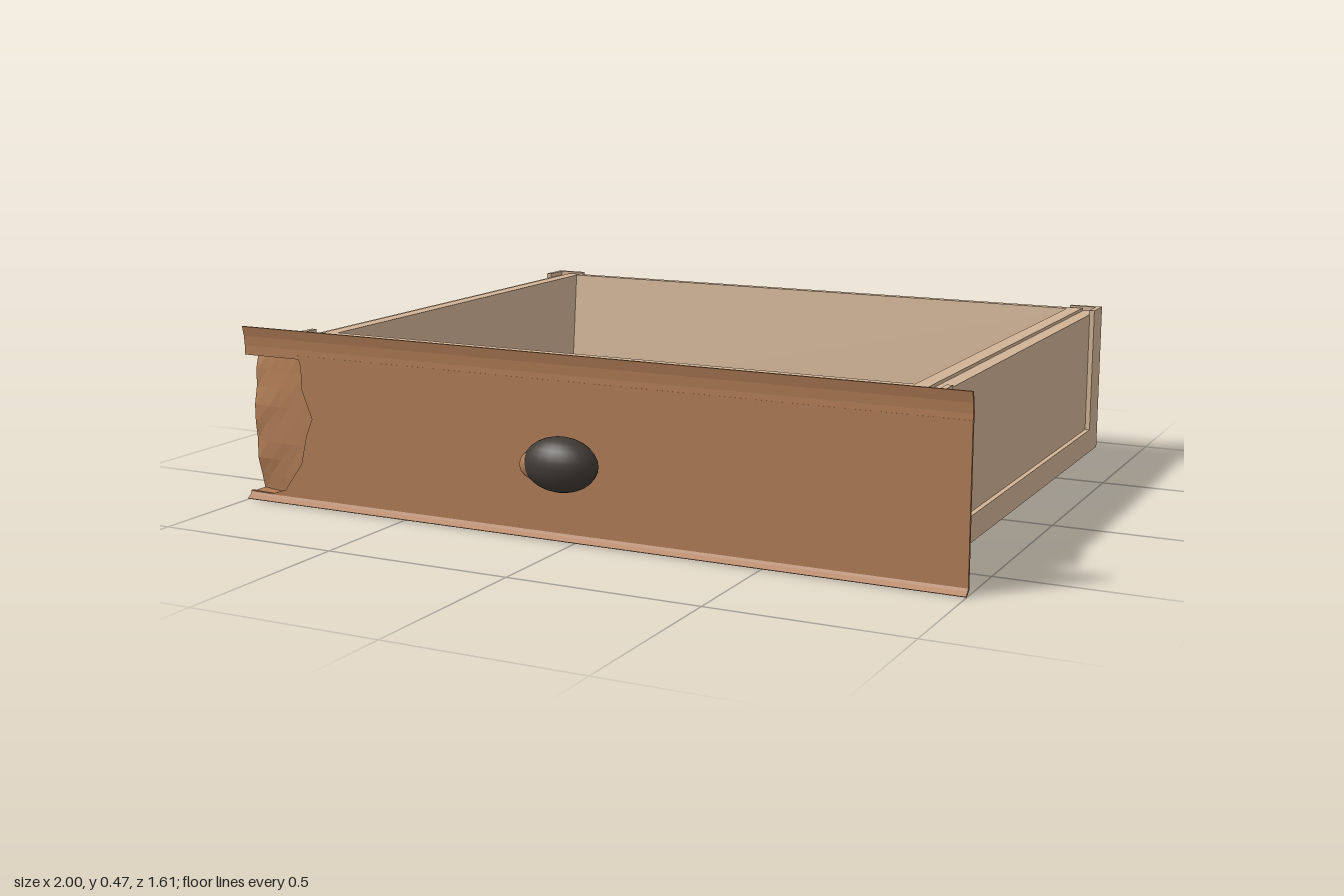
import * as THREE from 'three';

export function createModel() {
  const root = new THREE.Group();
  const mat = (name, color) => {
    const m = new THREE.MeshStandardMaterial({ color, side: THREE.DoubleSide });
    m.name = name;
    return m;
  };
  const tan = mat('pale wood', 0xd1b396);
  const brown = mat('brown wood', 0xaf7c55);
  const dark = mat('dark knob', 0x3f3a34);

  const add = (name, geo, material) => {
    const m = new THREE.Mesh(geo, material);
    m.name = name;
    root.add(m);
    return m;
  };
  const box = (name, x0, x1, y0, y1, z0, z1) => add(name,
    new THREE.BoxGeometry(x1 - x0, y1 - y0, z1 - z0)
      .translate((x0 + x1) / 2, (y0 + y1) / 2, (z0 + z1) / 2), tan);
  const shapeOf = pts => new THREE.Shape(pts.map(p => new THREE.Vector2(p[0], p[1])));
  const extrude = (shape, depth) =>
    new THREE.ExtrudeGeometry(shape, { depth, bevelEnabled: false });
  // [z, y] profile swept along x
  const alongX = (pts, x0, x1) =>
    extrude(shapeOf(pts), x1 - x0).rotateY(-Math.PI / 2).translate(x1, 0, 0);
  // [x, z] outline raised along y
  const upright = (pts, y0, y1, hole) => {
    const flip = list => list.map(([x, z]) => [x, -z]);
    const s = shapeOf(flip(pts));
    if (hole) s.holes.push(shapeOf(flip(hole)));
    return extrude(s, y1 - y0).rotateX(-Math.PI / 2).translate(0, y0, 0);
  };
  const rect = (x, z0, z1) => [[-x, z0], [x, z0], [x, z1], [-x, z1]];

  // Tray: bottom frame and floor
  add('bottomFrame', upright(rect(0.9, -0.805, 0.6), 0.03, 0.097, rect(0.812, -0.721, 0.508)), tan);
  box('floor', -0.82, 0.82, 0.036, 0.067, -0.73, 0.53);

  // Side walls with a stepped rim, and thin corner posts wrapped around them
  for (const s of [-1, 1]) {
    const side = s < 0 ? 'right' : 'left';
    const xs = (a, b) => (s < 0 ? [-b, -a] : [a, b]);
    box(side + 'Wall', ...xs(0.81, 0.85), 0.06, 0.439, -0.78, 0.55);
    box(side + 'OuterWall', ...xs(0.85, 0.887), 0.06, 0.431, -0.792, 0.587);
    add(side + 'FrontPost', upright([[0.9, 0.6], [0.9, 0.515], [0.885, 0.515],
      [0.885, 0.585], [0.81, 0.585], [0.81, 0.6]].map(([x, z]) => [s * x, z]), 0.09, 0.443), tan);
    add(side + 'BackPost', upright([[0.9, -0.805], [0.9, -0.72], [0.885, -0.72],
      [0.885, -0.79], [0.81, -0.79], [0.81, -0.805]].map(([x, z]) => [s * x, z]), 0.09, 0.443), tan);
  }

  // Front and back walls lean inwards towards the floor
  add('backWall', alongX([[-0.792, 0.06], [-0.715, 0.06], [-0.755, 0.439],
    [-0.78, 0.439], [-0.78, 0.431], [-0.792, 0.431]], -0.85, 0.85), tan);
  add('frontWall', alongX([[0.587, 0.06], [0.485, 0.06], [0.52, 0.439],
    [0.55, 0.439], [0.55, 0.431], [0.587, 0.431]], -0.85, 0.85), tan);

  // Front panel with a ragged break at its right end
  add('frontPanel', extrude(shapeOf([[1, 0.012], [1, 0.4], [-0.83, 0.4], [-0.82, 0.37],
    [-0.82, 0.31], [-0.8, 0.26], [-0.79, 0.235], [-0.81, 0.19], [-0.82, 0.15],
    [-0.83, 0.11], [-0.86, 0.07], [-0.885, 0.035], [-0.93, 0.02], [-1, 0.022], [-1, 0.012]]),
  0.008).translate(0, 0, 0.664), brown);

  // Moulded strips along the top and bottom edges
  add('topMoulding', alongX([[0.664, 0.39], [0.661, 0.41], [0.664, 0.43], [0.672, 0.466],
    [0.679, 0.466], [0.673, 0.44], [0.671, 0.415], [0.672, 0.39]], -1, 1), brown);
  add('bottomLip', alongX([[0.664, 0.018], [0.667, 0.009], [0.682, 0],
    [0.688, 0.003], [0.675, 0.012], [0.672, 0.018]], -1, 1), brown);

  // Splintered sheet bent backwards behind the break
  const nx = 5, ny = 8;
  const sheet = new THREE.PlaneGeometry(0.21, 0.385, nx, ny);
  const p = sheet.attributes.position;
  for (let i = 0; i < p.count; i++) {
    const col = i % (nx + 1), row = Math.floor(i / (nx + 1));
    const t = 1 - col / nx;
    const wave = Math.sin(row * 2.3 + col * 1.1);
    const edge = Math.abs(row / ny - 0.5) * 2;
    p.setXYZ(i, p.getX(i) - 0.895 + (col > 0 && col < nx ? 0.008 * wave : 0),
      p.getY(i) + 0.2025,
      0.662 - t * (0.022 + 0.026 * edge * edge) + 0.004 * t * wave);
  }
  const splinter = sheet.toNonIndexed();
  splinter.computeVertexNormals();
  add('splinteredSheet', splinter, brown);

  // Thin wedges closing the break above and below
  for (const [name, y] of [['upperSplinter', 0.392], ['lowerSplinter', 0.012]])
    add(name, upright([[-1, 0.61], [-0.79, 0.655], [-0.82, 0.664], [-1, 0.664]], y, y + 0.006), brown);

  // Oval knob on a short stem, with a worn patch on its right end
  add('knobStem', new THREE.CylinderGeometry(0.02, 0.032, 0.07, 10)
    .rotateX(Math.PI / 2).translate(0, 0.198, 0.7), brown);
  add('knob', new THREE.SphereGeometry(1, 20, 14)
    .scale(0.098, 0.068, 0.061).translate(0, 0.212, 0.745), dark);
  add('knobWear', new THREE.SphereGeometry(1, 12, 8)
    .scale(0.042, 0.038, 0.035).translate(-0.068, 0.206, 0.747), brown);
  return root;
}
